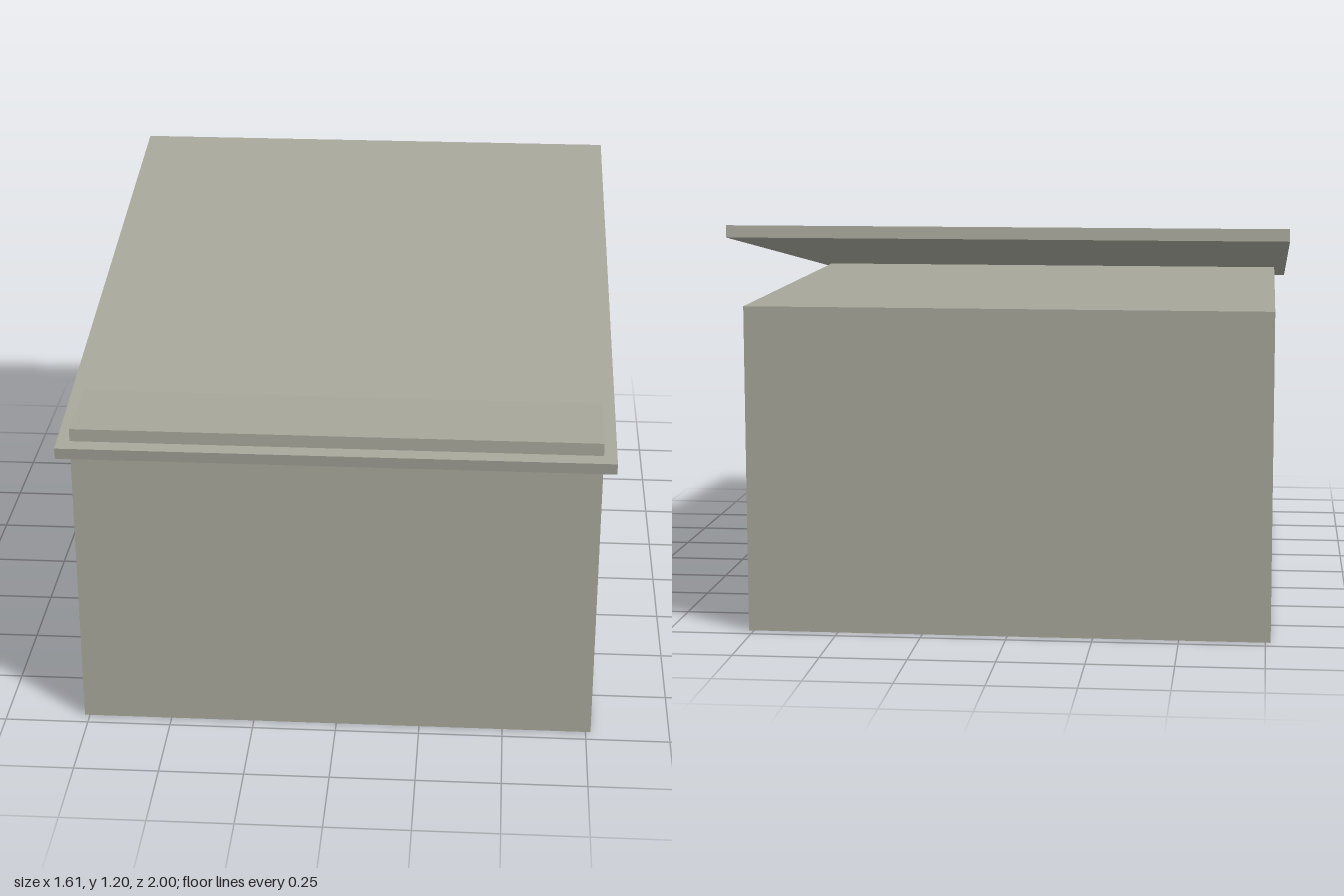
import * as THREE from 'three';

export function createModel() {
  const group = new THREE.Group();
  const stone = new THREE.MeshStandardMaterial({ color: 0xa5a599 });
  stone.name = 'warmGrey';

  const addBox = (name, width, height, depth, y) => {
    const mesh = new THREE.Mesh(new THREE.BoxGeometry(width, height, depth), stone);
    mesh.name = name;
    mesh.position.y = y;
    group.add(mesh);
    return mesh;
  };

  // solid body
  addBox('body', 1.53, 0.96, 1.92, 0.48);

  // overhanging lid, sloping down to the front and cutting through the body's top edge
  const lid = addBox('lid', 1.606, 0.035, 2.015, 1.039);
  lid.rotation.x = THREE.MathUtils.degToRad(8);

  return group;
}
